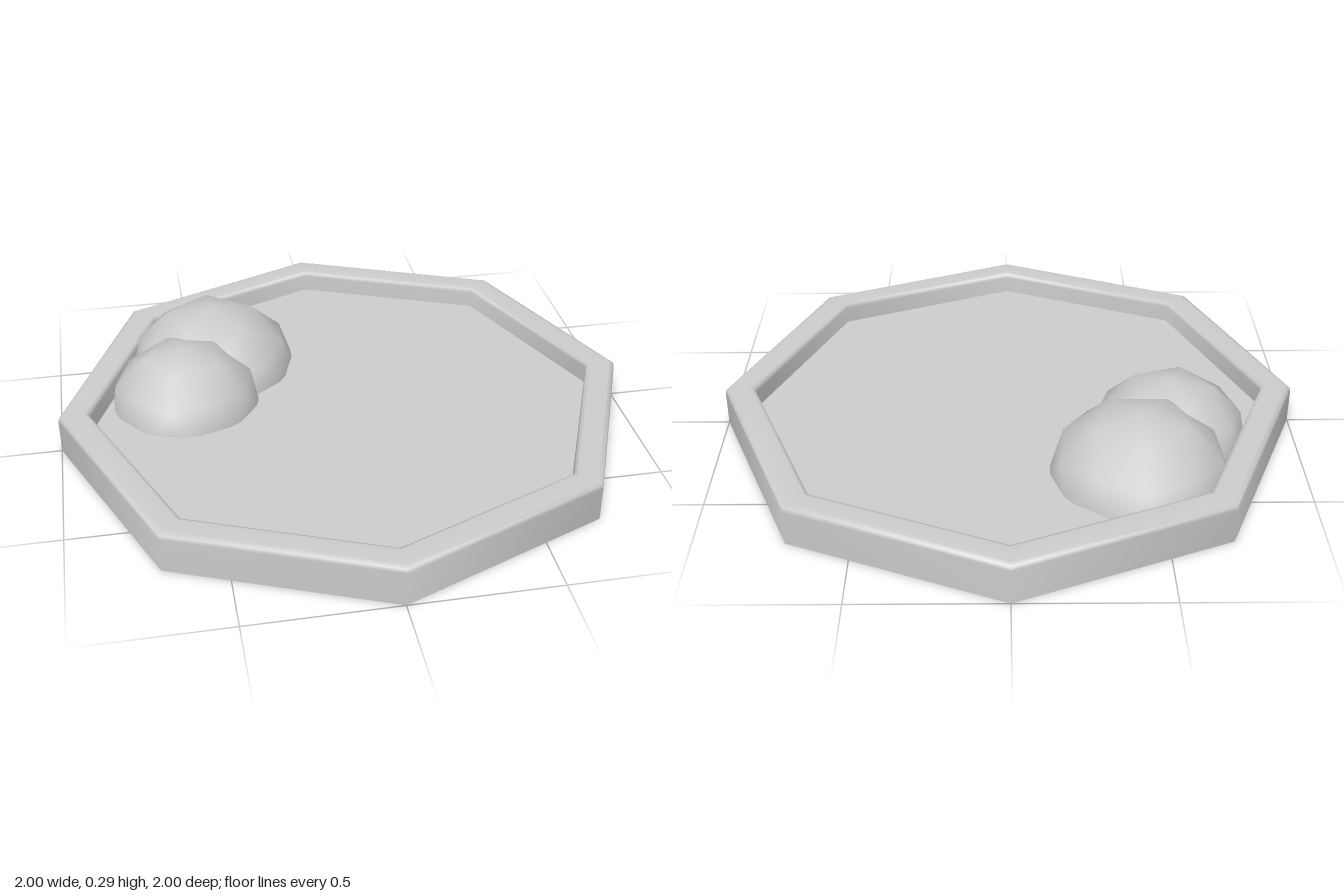
import * as THREE from 'three';

const SIDES = 8;
const FLOOR_Y = 0.065;
const material = new THREE.MeshStandardMaterial({ color: 0xcccccc });

function addMesh(group, name, geometry) {
  const mesh = new THREE.Mesh(geometry, material);
  mesh.name = name;
  group.add(mesh);
  return mesh;
}

// Low-poly boulder with a vertex on top, cut flat just below the tray floor
function boulderGeometry(x, y, z, rx, ry, rz, yaw) {
  const geometry = new THREE.IcosahedronGeometry(1, 1);
  geometry.rotateZ(Math.atan(2 / (1 + Math.sqrt(5))));
  geometry.rotateY(yaw);
  geometry.scale(rx, ry, rz);
  geometry.translate(x, y, z);
  const pos = geometry.attributes.position;
  for (let i = 0; i < pos.count; i++) pos.setY(i, Math.max(pos.getY(i), 0.02));
  return geometry;
}

export function createModel() {
  const model = new THREE.Group();
  model.name = 'rockTray';

  // Octagonal rim with softened top edges
  const profile = [
    [1, 0], [1, 0.122], [0.996, 0.135], [0.98, 0.142],
    [0.91, 0.142], [0.897, 0.137], [0.892, 0.125], [0.89, 0.05],
  ].map(([r, y]) => new THREE.Vector2(r, y));
  addMesh(model, 'rim', new THREE.LatheGeometry(profile, SIDES));

  // Sunken floor and flat underside
  const floor = new THREE.CircleGeometry(0.9, SIDES).rotateX(-Math.PI / 2);
  addMesh(model, 'floor', floor.translate(0, FLOOR_Y, 0));
  addMesh(model, 'underside', new THREE.CircleGeometry(1, SIDES).rotateX(Math.PI / 2));

  // Two overlapping boulders in the back right corner
  addMesh(model, 'largeBoulder', boulderGeometry(-0.43, 0.03, -0.4, 0.31, 0.265, 0.315, -Math.PI / 2));
  addMesh(model, 'smallBoulder', boulderGeometry(-0.55, 0.03, -0.165, 0.275, 0.245, 0.275, 0));

  return model;
}
